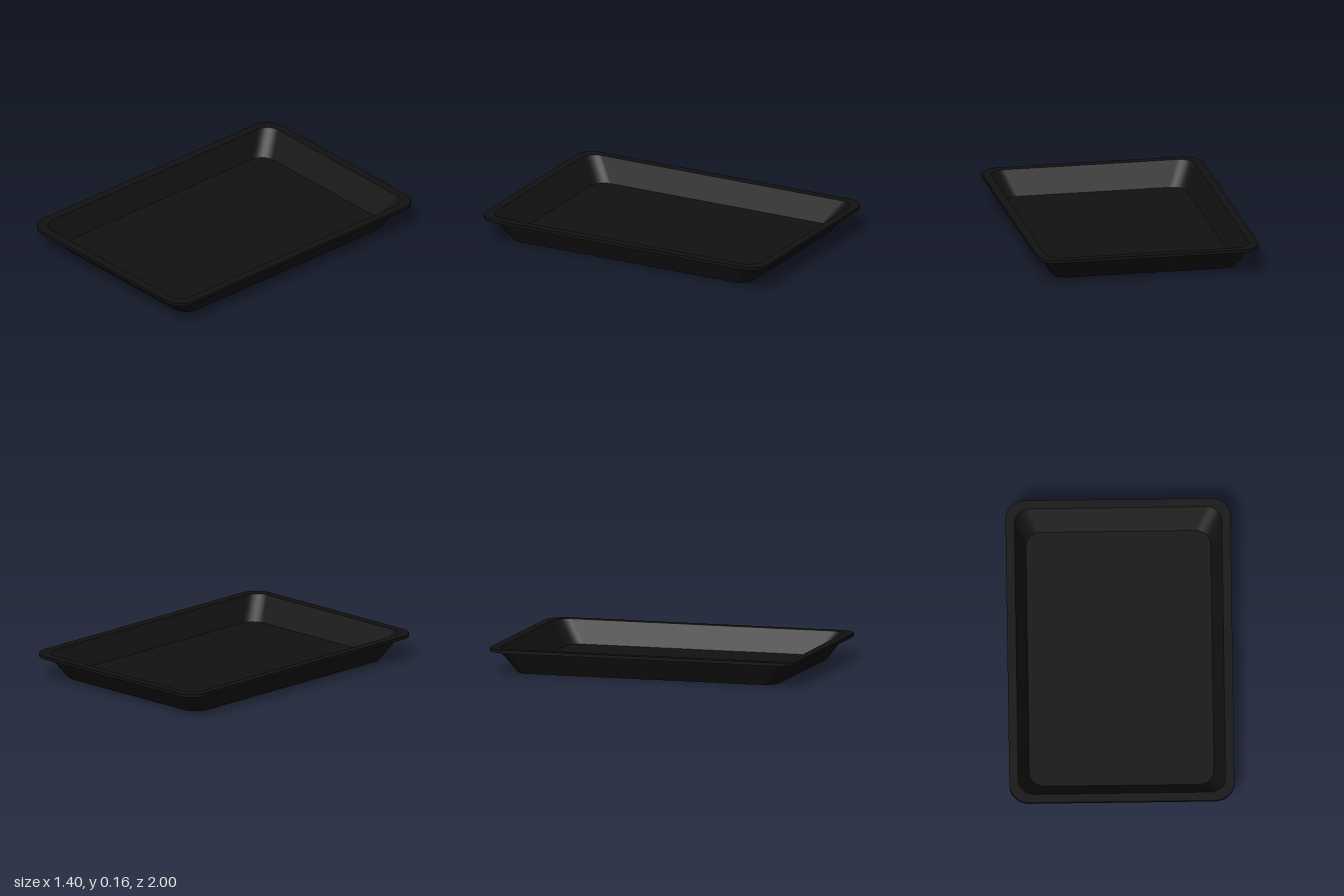
import * as THREE from 'three';
import { mergeGeometries } from 'three/addons/utils/BufferGeometryUtils.js';

const CORNER_STEPS = 10;

// Rounded rectangle ring, counter-clockwise seen from above
function ring([hx, hz, r, y]) {
  const pts = [];
  for (let c = 0; c < 4; c++) {
    const sx = c === 0 || c === 3 ? 1 : -1;
    const sz = c < 2 ? -1 : 1;
    for (let i = 0; i <= CORNER_STEPS; i++) {
      const a = (c + i / CORNER_STEPS) * Math.PI / 2;
      pts.push([sx * (hx - r) + r * Math.cos(a), y, sz * (hz - r) - r * Math.sin(a)]);
    }
  }
  return pts;
}

// Surface between two rings, smooth around the corners
function band(from, to) {
  const a = ring(from), b = ring(to), n = a.length, index = [];
  for (let i = 0; i < n; i++) {
    const j = (i + 1) % n;
    index.push(i, j, n + j, i, n + j, n + i);
  }
  const g = new THREE.BufferGeometry();
  g.setAttribute('position', new THREE.Float32BufferAttribute([...a, ...b].flat(), 3));
  g.setIndex(index);
  g.computeVertexNormals();
  return g;
}

// Chain of bands with a sharp edge at every ring
function loft(name, rings, material) {
  const bands = rings.slice(1).map((r, i) => band(rings[i], r));
  const mesh = new THREE.Mesh(mergeGeometries(bands), material);
  mesh.name = name;
  return mesh;
}

export function createModel() {
  const group = new THREE.Group();
  group.name = 'tray';
  const material = new THREE.MeshStandardMaterial({ color: 0x111111 });

  // Ring values: half width, half depth, corner radius, height
  const bottomEdge = [0.585, 0.85, 0.1, 0];
  const underRim = [0.65, 0.95, 0.1, 0.14];
  const rimLow = [0.7, 1, 0.12, 0.14];
  const rimHigh = [0.7, 1, 0.12, 0.16];
  const innerTop = [0.645, 0.945, 0.095, 0.16];
  const floorEdge = [0.575, 0.84, 0.095, 0.015];

  group.add(
    loft('outerShell', [[0, 0, 0, 0], bottomEdge, underRim], material),
    loft('rim', [underRim, rimLow, rimHigh, innerTop], material),
    loft('innerWalls', [innerTop, floorEdge], material),
    loft('floor', [floorEdge, [0, 0, 0, 0.015]], material),
  );
  return group;
}
